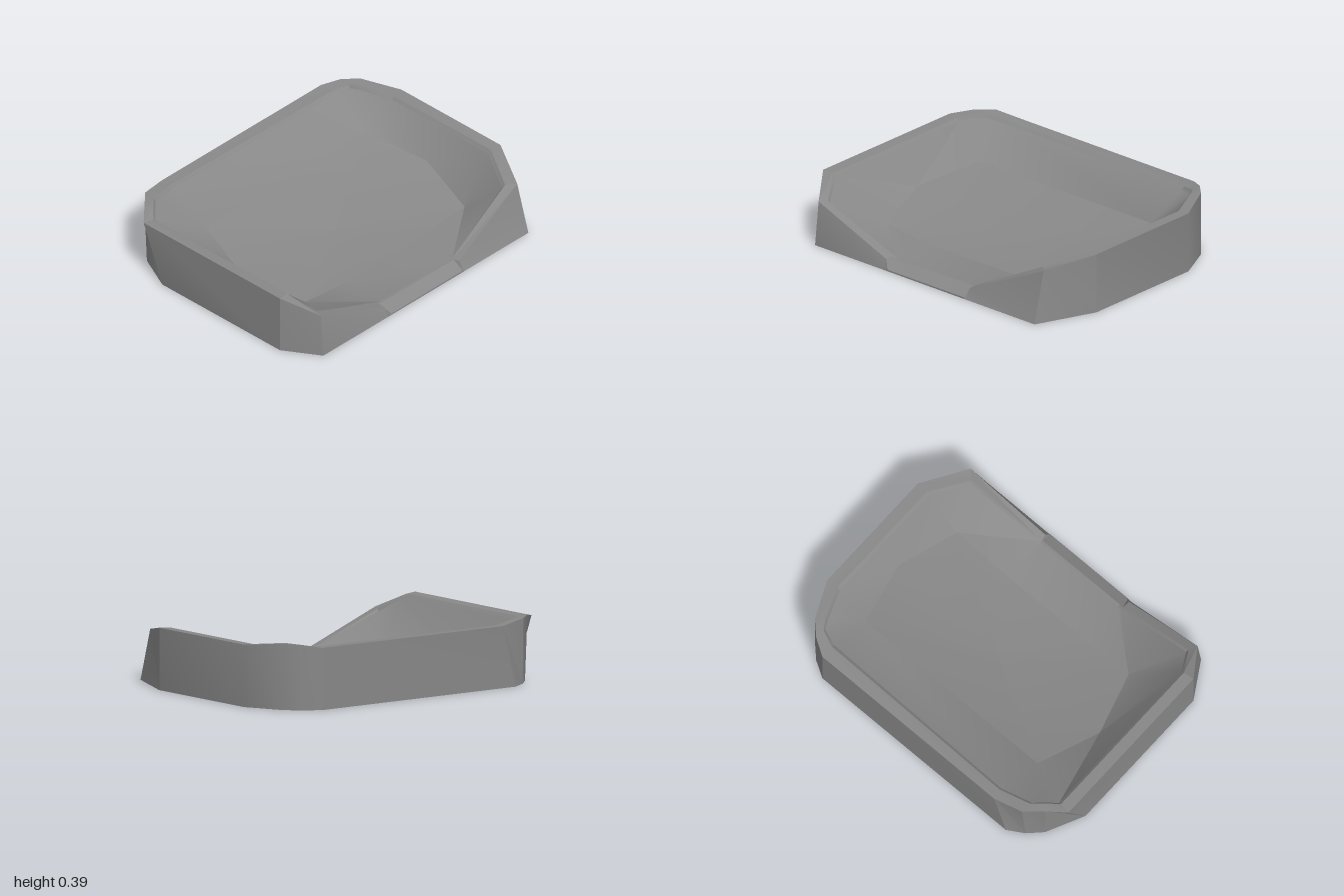
import * as THREE from 'three';
import { toCreasedNormals } from 'three/addons/utils/BufferGeometryUtils.js';

// Floor of the basin: lowest point and the corners around it
const low = [0.03, 0.055, 0];
const floor = {
  backRight: [-0.63, 0.22, -0.4], backLeft: [0.7, 0.22, -0.4],
  left: [0.8, 0.157, 0], frontLeft: [0.7, 0.08, 0.4],
  entryLeft: [0.3, 0.05, 0.4], entryRight: [-0.3, 0.05, 0.4],
  frontRight: [-0.63, 0.08, 0.4], right: [-0.76, 0.155, 0],
};

// Stations round the tray: base [x, z], outer top, inner rim, floor corners
const stations = [
  [[-1, -0.4], [-1, 0.365, -0.55], [-0.915, 0.345, -0.535], 'right', 'backRight'],
  [[-0.89, -0.63], [-0.9, 0.39, -0.64], [-0.86, 0.365, -0.59], 'backRight'],
  [[-0.81, -0.71], [-0.8, 0.39, -0.73], [-0.8, 0.365, -0.645], 'backRight'],
  [[-0.71, -0.77], [-0.62, 0.365, -0.77], [-0.6, 0.345, -0.69], 'backRight'],
  [[0.71, -0.77], [0.71, 0.365, -0.77], [0.71, 0.345, -0.665], 'backLeft'],
  [[0.81, -0.71], [0.81, 0.385, -0.71], [0.81, 0.36, -0.63], 'backLeft'],
  [[0.89, -0.63], [0.89, 0.39, -0.63], [0.835, 0.36, -0.58], 'backLeft'],
  [[1, -0.4], [1, 0.367, -0.4], [0.91, 0.345, -0.39], 'backLeft', 'left'],
  [[1, 0.4], [1, 0.367, 0.4], [0.91, 0.345, 0.39], 'left', 'frontLeft'],
  [[0.85, 0.77], [0.845, 0.31, 0.685], [0.78, 0.285, 0.625], 'frontLeft'],
  [[0.31, 0.77], [0.31, 0.06, 0.735], [0.31, 0.06, 0.68], 'frontLeft'],
  [[0.3, 0.77], [0.3, 0.01, 0.77], [0.3, 0.055, 0.68], 'entryLeft'],
  [[-0.3, 0.77], [-0.3, 0.01, 0.77], [-0.3, 0.055, 0.68], 'entryRight'],
  [[-0.33, 0.77], [-0.33, 0.06, 0.745], [-0.33, 0.065, 0.68], 'frontRight'],
  [[-0.865, 0.77], [-0.86, 0.27, 0.745], [-0.83, 0.25, 0.68], 'frontRight'],
  [[-1, 0.55], [-1, 0.367, 0.55], [-0.915, 0.345, 0.54], 'frontRight', 'right'],
].flatMap(([base, top, inner, ...corners]) => corners.map((c) => ({
  base: [base[0], 0, base[1]], top, inner, corner: floor[c],
})));

// Joins two rings of points, dropping triangles that collapse
function band(from, to) {
  const out = [];
  const tri = (...pts) => {
    const [a, b, c] = pts.map((p) => new THREE.Vector3(...p));
    if (b.sub(a).cross(c.sub(a)).length() > 1e-6) out.push(...pts.flat());
  };
  from.forEach((a, i) => {
    const j = (i + 1) % from.length;
    tri(a, to[j], from[j]);
    tri(a, to[i], to[j]);
  });
  return out;
}

export function createModel() {
  const group = new THREE.Group();
  const material = new THREE.MeshStandardMaterial({ color: 0x888888, side: THREE.DoubleSide });
  const add = (name, rings, crease) => {
    const pos = rings.slice(1).flatMap((ring, i) => band(rings[i], ring));
    const geo = new THREE.BufferGeometry();
    geo.setAttribute('position', new THREE.Float32BufferAttribute(pos, 3));
    const mesh = new THREE.Mesh(toCreasedNormals(geo, crease), material);
    mesh.name = name;
    group.add(mesh);
  };

  const ring = (key) => stations.map((s) => s[key]);
  const [base, top, inner, corners] = ['base', 'top', 'inner', 'corner'].map(ring);
  // Ridge where the flat rim meets its small inner step
  const ridge = top.map((p, i) => p.map((v, k) =>
    k === 1 ? Math.max(v - 0.004, inner[i][1]) : THREE.MathUtils.lerp(v, inner[i][k], 0.8)));

  add('underside', [stations.map(() => [0, 0, 0]), base], 0.1);
  add('outerWall', [base, top], 0.46);
  add('rim', [top, ridge, inner], 0.3);
  add('basinWall', [inner, corners], 0.6);
  add('basinFloor', [corners, stations.map(() => low)], 0.3);
  return group;
}
